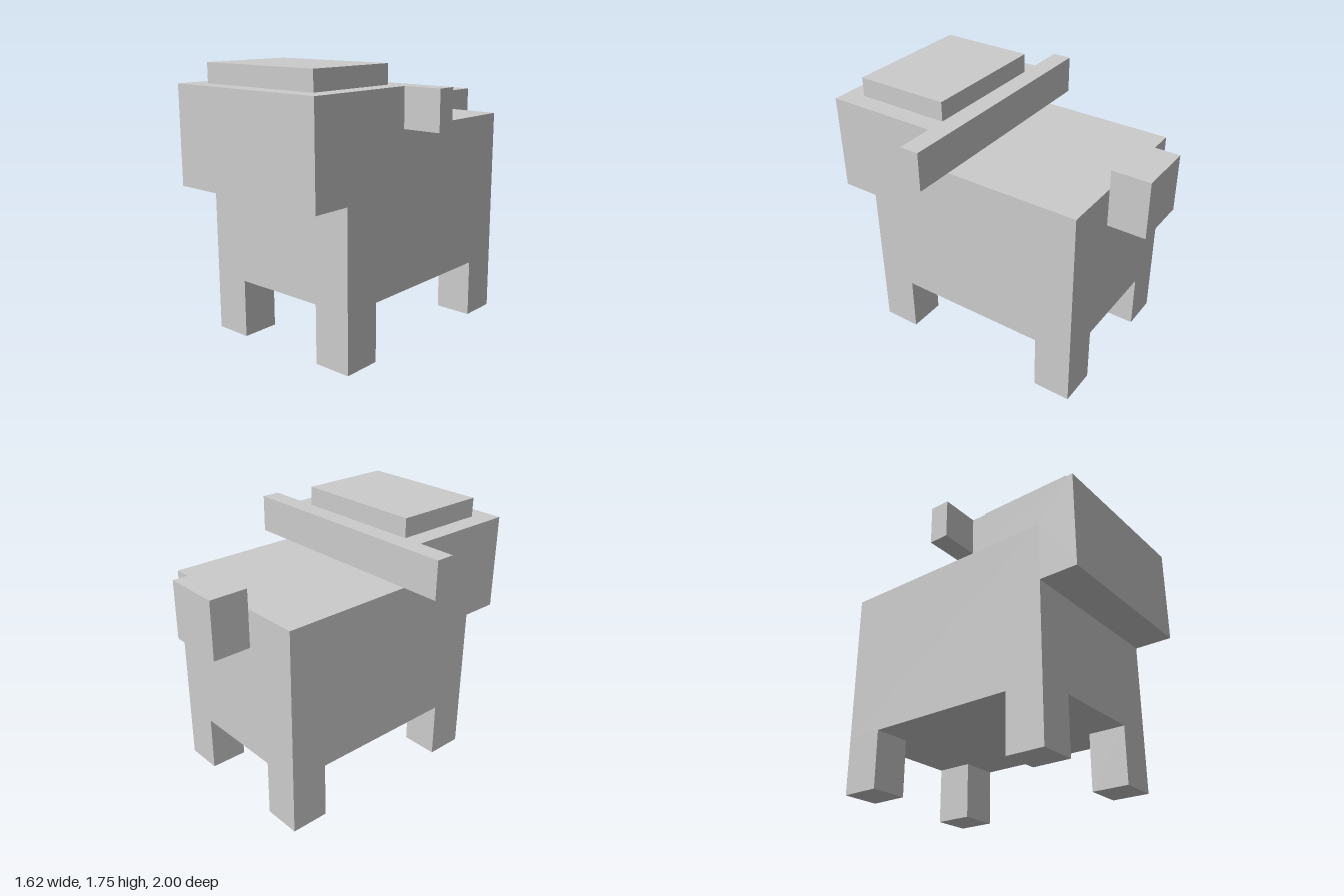
import * as THREE from 'three';

const material = new THREE.MeshStandardMaterial({ color: 0xcccccc, flatShading: true });

// Box given by its [min, max] range on each axis
function block(name, [x0, x1], [y0, y1], [z0, z1]) {
  const mesh = new THREE.Mesh(new THREE.BoxGeometry(x1 - x0, y1 - y0, z1 - z0), material);
  mesh.position.set((x0 + x1) / 2, (y0 + y1) / 2, (z0 + z1) / 2);
  mesh.name = name;
  return mesh;
}

export function createModel() {
  const model = new THREE.Group();
  model.name = 'blockAnimal';
  const half = 0.5625; // half width of body and head

  model.add(block('body', [-half, half], [0.375, 1.375], [-0.75, 0.75]));

  // Head: side profile (z, y) that rests on the body and drops down in front of it
  const profile = new THREE.Shape([
    [0.25, 1.375], [0.75, 1.375], [0.75, 1], [1, 1], [1, 1.625], [0.25, 1.625],
  ].map(([z, y]) => new THREE.Vector2(z, y)));
  const headGeometry = new THREE.ExtrudeGeometry(profile, { depth: half * 2, bevelEnabled: false });
  headGeometry.translate(0, 0, -half).rotateY(-Math.PI / 2);
  const head = new THREE.Mesh(headGeometry, material);
  head.name = 'head';
  model.add(head);

  // Raised crown, the bar that forms both ears, and the tail
  model.add(block('crown', [-0.4375, 0.4375], [1.625, 1.75], [0.25, 0.875]));
  model.add(block('ears', [-0.8125, 0.8125], [1.375, 1.625], [0.125, 0.25]));
  model.add(block('tail', [-0.1875, 0.1875], [1.125, 1.5], [-1, -0.75]));

  // Four legs flush with the body's corners
  for (const [side, x] of [['Left', 0.3125], ['Right', -half]]) {
    for (const [end, z] of [['front', 0.5], ['back', -0.75]]) {
      model.add(block(`${end}${side}Leg`, [x, x + 0.25], [0, 0.375], [z, z + 0.25]));
    }
  }
  return model;
}
